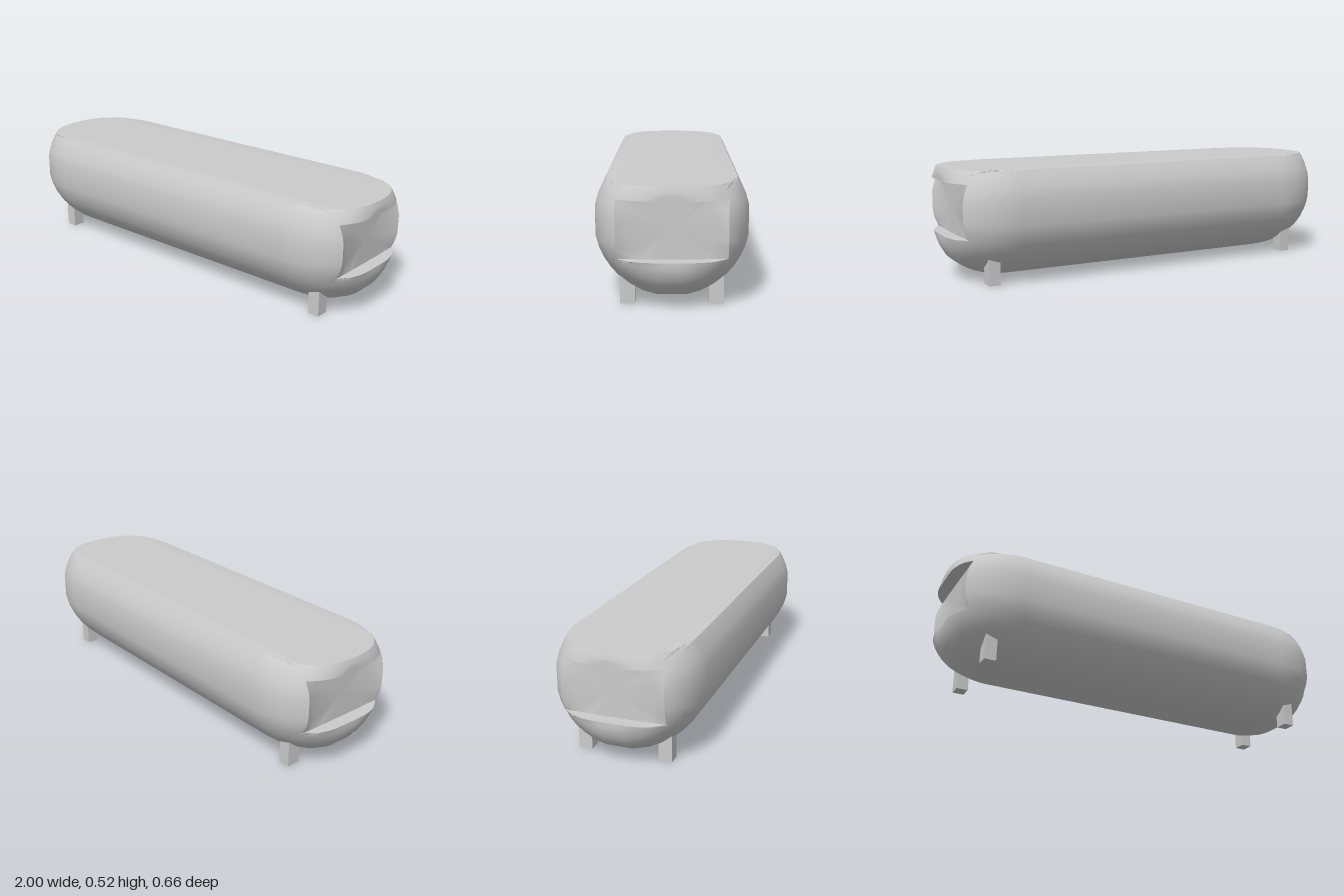
import * as THREE from 'three';
import { toCreasedNormals } from 'three/addons/utils/BufferGeometryUtils.js';

const CY = 0.34, RY = 0.328, RZ = 0.334; // body axis height and radii
const TOP = 0.523;                       // flat top
const WIN_W = 0.23, WIN_H = 0.125;       // half size of the end recess
const PANEL_W = 0.168, PANEL_X = 0.94;   // recessed end panel

// Distance of the domed end from the middle, for a point of the cross-section
function endX(dy, z) {
  const r = Math.min(1, Math.hypot(z / RZ, dy / RY));
  return Math.min(1, 0.72 + 0.288 * Math.pow(1 - r ** 4, 0.56));
}

// Cross-section: faceted circle cut off flat at the top, as [dy, z]
function outline() {
  const corner = 90 - THREE.MathUtils.radToDeg(Math.atan2(WIN_H, WIN_W));
  const angles = [11.25, 22.5, 33.75, 45, 53, corner, 70, 78.75, 101.25, 110, 180 - corner];
  const side = angles.map((a) => {
    const t = THREE.MathUtils.degToRad(a);
    return [-RY * Math.cos(t), RZ * Math.sin(t)];
  });
  const topZ = 0.278, top = [], n = 16;
  for (let i = 0; i <= n; i++) top.push([TOP - CY, topZ * (1 - 2 * i / n)]);
  const mirrored = side.map(([y, z]) => [y, -z]).reverse();
  return [...side, ...top, ...mirrored];
}

function bodyGeometry() {
  const outer = outline();
  // outline projected toward the axis onto the recess rectangle
  const inner = outer.map(([y, z]) => {
    const k = 1 / Math.max(Math.abs(y) / WIN_H, Math.abs(z) / WIN_W);
    return [y * k, z * k];
  });

  // rings of one end, from the panel centre out to the full section
  const end = [
    inner.map(() => [PANEL_X, 0, 0]),
    inner.map(([y, z]) => [PANEL_X, y, z * PANEL_W / WIN_W]),
  ];
  const steps = 12;
  for (let s = 0; s <= steps; s++) {
    const t = Math.sin((s / steps) * Math.PI / 2);
    end.push(outer.map(([y, z], i) => {
      const py = THREE.MathUtils.lerp(inner[i][0], y, t);
      const pz = THREE.MathUtils.lerp(inner[i][1], z, t);
      return [endX(py, pz), py, pz];
    }));
  }
  // the other end mirrors it; the long shell spans between them
  const other = end.map((ring) => ring.map(([x, y, z]) => [-x, y, z])).reverse();
  const rings = [...end, ...other];

  const n = outer.length, positions = [], index = [];
  rings.forEach((ring) => ring.forEach(([x, y, z]) => positions.push(x, y + CY, z)));
  for (let j = 0; j < rings.length - 1; j++) {
    for (let i = 0; i < n; i++) {
      const k = (i + 1) % n;
      const a = j * n + i, b = j * n + k, c = a + n, d = b + n;
      if (j < rings.length - 2) index.push(a, d, c);
      if (j > 0) index.push(a, b, d);
    }
  }
  const geometry = new THREE.BufferGeometry();
  geometry.setAttribute('position', new THREE.Float32BufferAttribute(positions, 3));
  geometry.setIndex(index);
  return toCreasedNormals(geometry, 0.6);
}

export function createModel() {
  const model = new THREE.Group();
  const material = new THREE.MeshStandardMaterial({ color: 0xcccccc });

  const body = new THREE.Mesh(bodyGeometry(), material);
  body.name = 'body';
  model.add(body);

  // four short feet, sunk into the belly
  const footGeometry = new THREE.BoxGeometry(0.055, 0.15, 0.063);
  for (const sx of [1, -1]) {
    for (const sz of [1, -1]) {
      const foot = new THREE.Mesh(footGeometry, material);
      foot.name = (sz > 0 ? 'front' : 'back') + (sx > 0 ? 'Left' : 'Right') + 'Foot';
      foot.position.set(sx * 0.823, 0.075, sz * 0.187);
      model.add(foot);
    }
  }
  return model;
}
